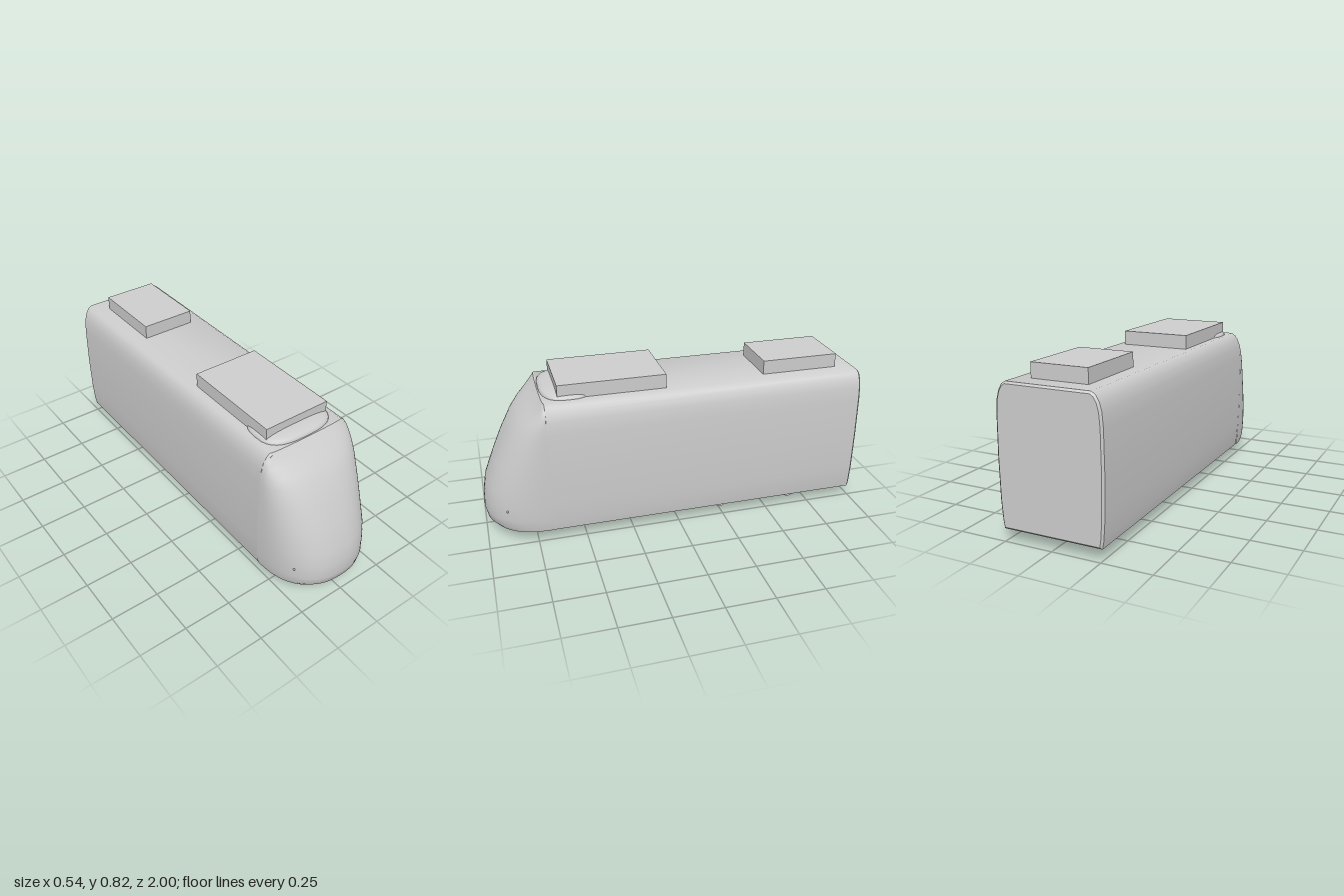
import * as THREE from 'three';
import { toCreasedNormals } from 'three/addons/utils/BufferGeometryUtils.js';

const CREASE = 0.75;

// Half cross-section of the body: [half width, height], bottom to roof
const SECTION = [
  [0.255, 0.06], [0.262, 0.1], [0.269, 0.2], [0.272, 0.4], [0.269, 0.6],
  [0.263, 0.67], [0.252, 0.71], [0.235, 0.739], [0.215, 0.752],
];

// Nose rows: [height, half width, front z]
const NOSE_BACK = 0.67;
const NOSE_ROWS = [
  [0.06, 0, NOSE_BACK], [0.06, 0.257, 0.965], [0.085, 0.262, 0.99], [0.13, 0.266, 1],
  [0.2, 0.269, 0.995], [0.28, 0.271, 0.98], [0.4, 0.272, 0.93], [0.5, 0.271, 0.885],
  [0.6, 0.269, 0.83], [0.65, 0.265, 0.79], [0.69, 0.258, 0.745], [0.72, 0.247, 0.712],
  [0.752, 0.215, 0.68], [0.752, 0, NOSE_BACK],
];

const power = (v, p) => Math.sign(v) * Math.abs(v) ** p;

function bodyGeometry() {
  const left = SECTION.map(([x, y]) => new THREE.Vector2(x, y));
  const right = SECTION.map(([x, y]) => new THREE.Vector2(-x, y)).reverse();
  const geometry = new THREE.ExtrudeGeometry(new THREE.Shape([...left, ...right]), {
    depth: 1.66, bevelEnabled: true, bevelThickness: 0.01, bevelSize: 0.01,
    bevelOffset: -0.01, bevelSegments: 1,
  });
  geometry.translate(0, 0, -0.99);
  return toCreasedNormals(geometry, CREASE);
}

// Stacked half-superellipse plans, closed below and above
function noseGeometry() {
  const steps = 32, positions = [], indices = [];
  NOSE_ROWS.forEach(([y, w, front], i) => {
    for (let j = 0; j <= steps; j++) {
      const t = (j / steps) * Math.PI;
      const x = w * power(Math.cos(t), 0.83);
      const z = NOSE_BACK + (front - NOSE_BACK) * Math.max(0, Math.sin(t)) ** 0.83;
      positions.push(x, y, z);
      if (i < NOSE_ROWS.length - 1 && j < steps) {
        const a = i * (steps + 1) + j, c = a + steps + 1;
        indices.push(a, c, a + 1, a + 1, c, c + 1);
      }
    }
  });
  const geometry = new THREE.BufferGeometry();
  geometry.setAttribute('position', new THREE.Float32BufferAttribute(positions, 3));
  geometry.setIndex(indices);
  return toCreasedNormals(geometry, CREASE);
}

// Low squarish dome that carries the nose line onto the roof
function fairingGeometry() {
  const geometry = new THREE.SphereGeometry(1, 32, 16);
  const p = geometry.attributes.position;
  for (let i = 0; i < p.count; i++) {
    p.setXYZ(i, 0.2 * power(p.getX(i), 0.7), 0.034 * power(p.getY(i), 0.8), 0.135 * power(p.getZ(i), 0.7));
  }
  geometry.computeVertexNormals();
  return geometry;
}

export function createModel() {
  const group = new THREE.Group();
  const paint = new THREE.MeshStandardMaterial({ color: 0xcccccc });
  paint.name = 'light grey';

  const add = (name, geometry, x = 0, y = 0, z = 0) => {
    const mesh = new THREE.Mesh(geometry, paint);
    mesh.name = name;
    mesh.position.set(x, y, z);
    group.add(mesh);
    return mesh;
  };

  add('body', bodyGeometry());
  add('nose', noseGeometry());
  add('roofFairing', fairingGeometry(), 0, 0.751, 0.54);

  // Roof equipment boxes
  add('frontRoofUnit', new THREE.BoxGeometry(0.364, 0.075, 0.55), 0, 0.7875, 0.325);
  add('rearRoofUnit', new THREE.BoxGeometry(0.292, 0.075, 0.41), 0, 0.7875, -0.69);

  // Wheels, half sunk into the floor, and small lamps
  const wheel = new THREE.CylinderGeometry(0.06, 0.06, 0.022, 8).rotateZ(Math.PI / 2);
  const lamp = new THREE.SphereGeometry(0.006, 6, 6);
  for (const side of [-1, 1]) {
    for (const z of [-0.26, -0.665]) add('wheel', wheel, side * 0.171, 0.06, z);
    add('headlamp', lamp, side * 0.222, 0.185, 0.893);
  }
  return group;
}
